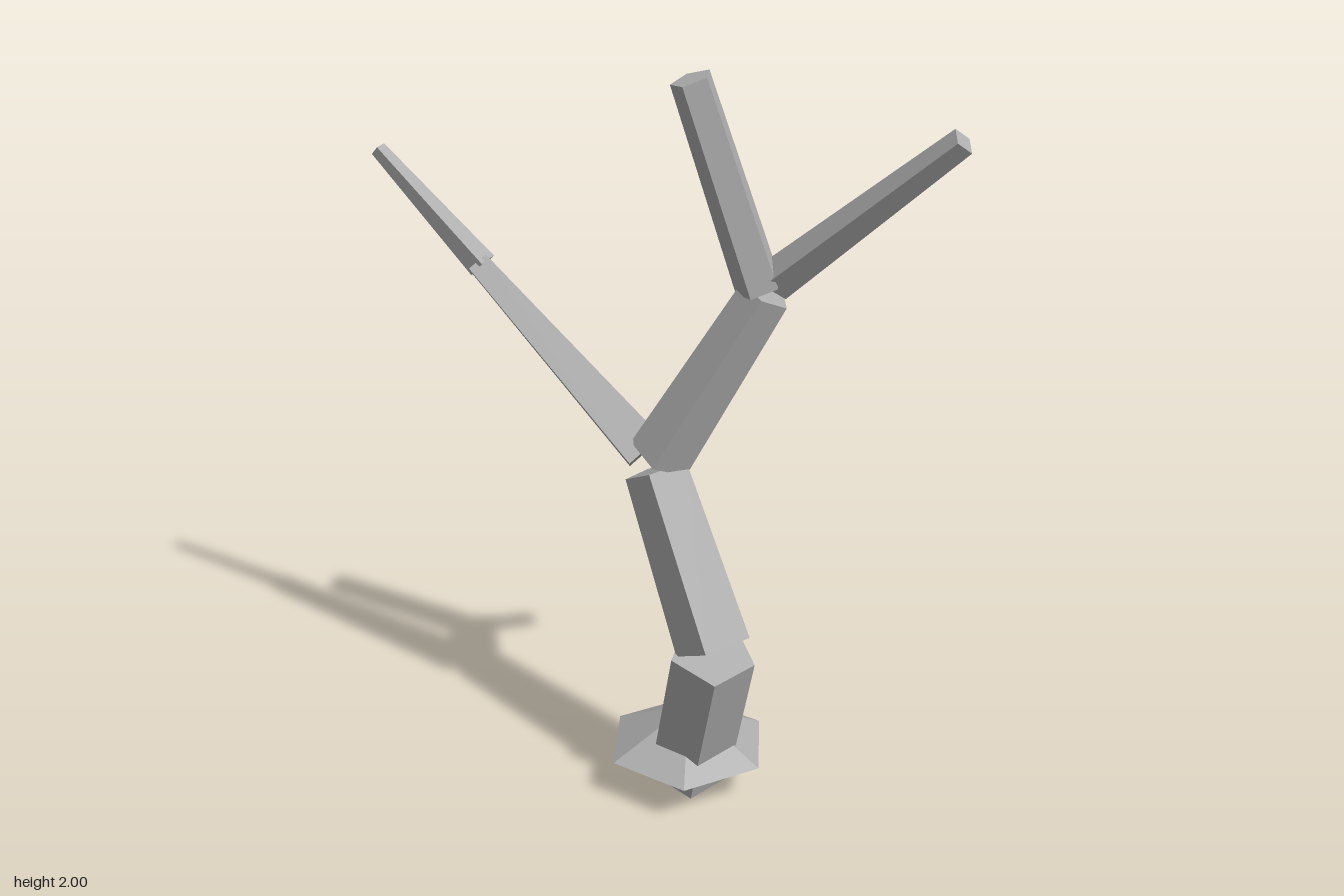
import * as THREE from 'three';

const UP = new THREE.Vector3(0, 1, 0);

export function createModel() {
  const tree = new THREE.Group();
  tree.name = 'bareTree';
  const bark = new THREE.MeshStandardMaterial({ color: 0xadadad, flatShading: true });
  bark.name = 'greyBark';

  // Tapered prism from one point to another; roll (degrees) turns its corners about the axis.
  function limb(name, from, to, r0, r1, sides, roll) {
    const a = new THREE.Vector3(...from);
    const axis = new THREE.Vector3(...to).sub(a);
    const length = axis.length();
    const geometry = new THREE.CylinderGeometry(r1, r0, length, sides);
    geometry.rotateY(THREE.MathUtils.degToRad(roll));
    geometry.translate(0, length / 2, 0);
    const mesh = new THREE.Mesh(geometry, bark);
    mesh.name = name;
    mesh.position.copy(a);
    mesh.quaternion.setFromUnitVectors(UP, axis.normalize());
    tree.add(mesh);
  }

  // Root flare: a squashed six-sided double cone
  const flare = new THREE.Mesh(new THREE.SphereGeometry(0.228, 6, 2), bark);
  flare.name = 'rootFlare';
  flare.scale.y = 0.12 / 0.228;
  flare.position.set(0.11, 0.12, 0);
  tree.add(flare);

  // Crooked trunk
  limb('lowerTrunk', [0.115, 0.045, 0.0], [0.24, 0.5, 0.09], 0.115, 0.115, 5, 36);
  limb('middleTrunk', [0.25, 0.53, 0.09], [0.04, 0.96, 0.042], 0.108, 0.09, 5, 20);
  limb('upperTrunk', [0.045, 1.0, 0.04], [0.293, 1.465, -0.045], 0.087, 0.066, 5, 20);

  // Branches
  limb('rightBranch', [0.0, 1.0, 0.045], [-0.49, 1.43, 0.09], 0.075, 0.04, 4, 0);
  limb('rightBranchTip', [-0.48, 1.425, 0.085], [-0.765, 1.705, 0.142], 0.039, 0.021, 4, 45);
  limb('topBranch', [0.28, 1.475, -0.035], [0.155, 1.988, 0.085], 0.06, 0.051, 5, 8);
  limb('leftBranch', [0.305, 1.49, -0.06], [0.752, 1.89, -0.094], 0.052, 0.033, 4, 0);

  return tree;
}
